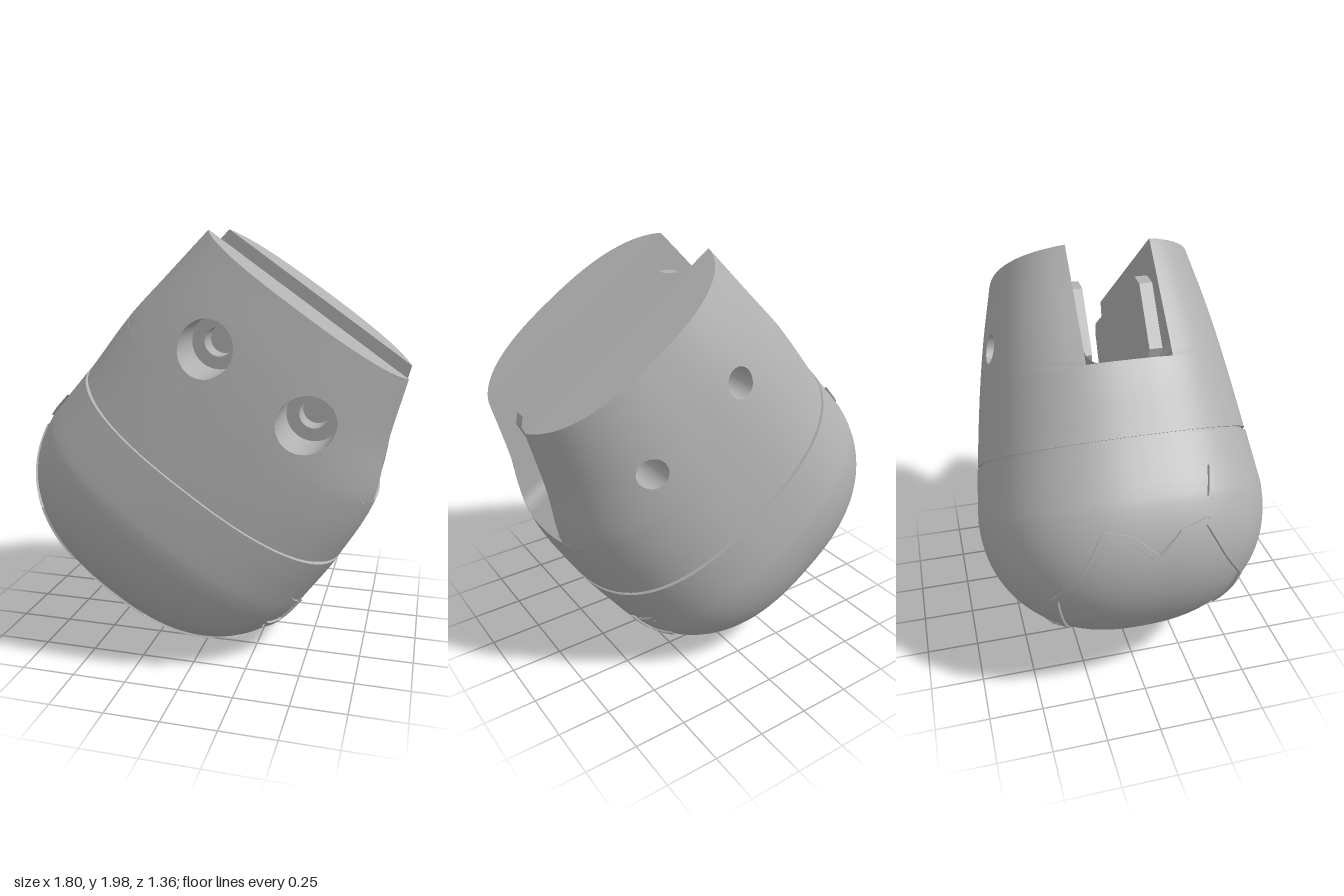
import * as THREE from 'three';
import { mergeGeometries, mergeVertices, toCreasedNormals } from 'three/addons/utils/BufferGeometryUtils.js';

const N = 2.5;                     // roundness of the oval sections
const SLOT = 0.19, FLOOR = 1.09, TOP = 1.635;
const BORE = 0.067, COUNTERBORE = 0.125, COUNTERBORE_Z = 0.3;
const HOLES = [[-0.81, 1.28], [-0.277, 1.28]];
const MID = -0.543;

// Oval sections above the dome: centre, half length, half width at each height
const sections = new THREE.CubicInterpolant(
  [0.5, 0.76, 1.09, 1.36, 1.635],
  [-0.535, 0.768, 0.675, -0.52, 0.757, 0.645, -0.53, 0.73, 0.595, -0.568, 0.65, 0.545, -0.596, 0.58, 0.48], 3);

function section(y) {
  if (y >= 0.5) return Array.from(sections.evaluate(Math.min(y, TOP)));
  const s = Math.min(1, (0.5 - y) / 0.607);
  const k = Math.pow(Math.max(0, 1 - Math.pow(s, 2.25)), 1 / 2.25);
  return [-0.535, 0.768 * k, 0.675 * k];
}

// Half width of the body at a point of its side
function outerZ(x, y) {
  const [c, a, b] = section(y);
  return Math.max(SLOT, b * Math.pow(Math.max(0, 1 - Math.pow(Math.abs((x - c) / a), N)), 1 / N));
}

// Where the body's oval meets the slot wall
function slotEnd(y, side) {
  const [c, a, b] = section(y);
  return c + side * a * Math.pow(1 - Math.pow(SLOT / b, N), 1 / N);
}

function ovalPoint(y, t, scale = 1) {
  const [c, a, b] = section(y);
  const p = (v) => Math.sign(v) * Math.pow(Math.abs(v), 2 / N);
  return [c + scale * a * p(Math.cos(t)), y, scale * b * p(Math.sin(t))];
}

// Surface from a rule over a grid of ni by nj cells
function grid(ni, nj, rule, flip = false) {
  const pos = [], idx = [];
  for (let j = 0; j <= nj; j++) for (let i = 0; i <= ni; i++) pos.push(...rule(i / ni, j / nj, i, j));
  for (let j = 0; j < nj; j++) for (let i = 0; i < ni; i++) {
    const a = j * (ni + 1) + i, b = a + 1, c = a + ni + 1, d = c + 1;
    if (flip) idx.push(a, b, c, b, d, c);
    else idx.push(a, c, b, b, c, d);
  }
  const g = new THREE.BufferGeometry();
  g.setAttribute('position', new THREE.Float32BufferAttribute(pos, 3));
  g.setIndex(idx);
  return g;
}

function smooth(...geometries) {
  const g = mergeVertices(mergeGeometries(geometries), 1e-4);
  g.computeVertexNormals();
  return g;
}

// Loft through rows of [height, scale]
function loft(rows) {
  return grid(96, rows.length - 1, (s, t, i, j) => ovalPoint(rows[j][0], s * Math.PI * 2, rows[j][1]));
}

// Half of a cheek face: rings spreading from a hole out to the face's border
function holedFace(half, radius, zRule, flip) {
  const [hx, hy] = HOLES[half];
  const left = (y) => (half === 0 ? slotEnd(y, -1) : MID);
  const right = (y) => (half === 0 ? MID : slotEnd(y, 1));
  return grid(112, 16, (s, t) => {
    const side = Math.min(3, Math.floor(s * 4 + 1e-9)), f = s * 4 - side;
    const along = side === 0 ? f : 1 - f;
    const y = side === 0 ? FLOOR : side === 2 ? TOP : FLOOR + (TOP - FLOOR) * (side === 1 ? f : 1 - f);
    const x = side === 1 ? right(y) : side === 3 ? left(y) : left(y) + (right(y) - left(y)) * along;
    const d = Math.hypot(x - hx, y - hy);
    const px = hx + (x - hx) * (radius / d * (1 - t) + t);
    const py = hy + (y - hy) * (radius / d * (1 - t) + t);
    return [px, py, zRule(px, py)];
  }, flip);
}

// Hole lining from one depth rule to another
function lining(hole, radius, from, to, flip) {
  return grid(48, 1, (s, t) => {
    const x = hole[0] + radius * Math.cos(s * Math.PI * 2), y = hole[1] + radius * Math.sin(s * Math.PI * 2);
    return [x, y, t ? to(x, y) : from(x, y)];
  }, flip);
}

// Point on the rounded base, reached from the centre along an angle pair
function basePoint(p, q, lift) {
  const polar = Math.hypot(p, q) || 1e-6, k = Math.sin(polar) / polar;
  const dir = [p * k, -Math.cos(polar), q * k];
  let lo = 0, hi = 1.2;
  for (let n = 0; n < 30; n++) {
    const r = (lo + hi) / 2, y = 0.45 + r * dir[1], [c, a, b] = section(y);
    const inside = a > 1e-6 &&
      Math.pow(Math.abs((-0.535 + r * dir[0] - c) / a), N) + Math.pow(Math.abs(r * dir[2] / b), N) < 1;
    if (inside) lo = r; else hi = r;
  }
  const r = lo + lift;
  return [-0.535 + r * dir[0], 0.45 + r * dir[1], r * dir[2]];
}

function ridge(a, b) {
  const len = Math.hypot(b[0] - a[0], b[1] - a[1]);
  const nx = -(b[1] - a[1]) / len, ny = (b[0] - a[0]) / len;
  const profile = [[-0.026, -0.01], [-0.02, 0.013], [0.02, 0.013], [0.026, -0.01]];
  return grid(10, 3, (s, t, i, j) => {
    const [w, h] = profile[j];
    return basePoint(a[0] + (b[0] - a[0]) * s + nx * w, a[1] + (b[1] - a[1]) * s + ny * w, h);
  });
}

export function createModel() {
  const model = new THREE.Group();
  model.name = 'slottedEndCap';
  const body = new THREE.Group();
  body.name = 'tiltedBody';
  body.rotation.z = -THREE.MathUtils.degToRad(35);
  model.add(body);
  const grey = new THREE.MeshStandardMaterial({ color: 0xb0b0b0, side: THREE.DoubleSide });
  grey.name = 'plainGrey';
  const add = (name, geometry, parent = body) => {
    const mesh = new THREE.Mesh(geometry, grey);
    mesh.name = name;
    parent.add(mesh);
    return mesh;
  };

  // Rounded base, seam and collar below the slot
  const dome = [];
  for (let i = 0; i <= 28; i++) dome.push([0.5 - 0.607 * Math.cos(i / 28 * Math.PI / 2), 1.004]);
  for (const y of [0.56, 0.62, 0.69, 0.752]) dome.push([y, 1.004]);
  add('roundedBase', smooth(loft(dome)));
  add('seamGroove', toCreasedNormals(smooth(loft([[0.752, 1.004], [0.752, 0.98], [0.766, 0.98], [0.766, 1]])), 0.5));
  add('collar', smooth(loft([0.766, 0.85, 0.93, 1.01, FLOOR].map((y) => [y, 1]))));
  add('slotFloor', smooth(grid(96, 1, (s, t) => ovalPoint(FLOOR, s * Math.PI * 2, 1 - t))));

  // Two cheeks, the front one counterbored
  for (const s of [1, -1]) {
    const cheek = new THREE.Group();
    cheek.name = s > 0 ? 'frontCheek' : 'backCheek';
    body.add(cheek);
    const outer = (x, y) => s * outerZ(x, y), inner = () => s * SLOT, step = () => s * COUNTERBORE_Z;
    const back = s < 0, mouth = back ? BORE : COUNTERBORE;
    add('cheekOuterFace', smooth(...[0, 1].map((h) => holedFace(h, mouth, outer, back))), cheek);
    add('cheekInnerFace', smooth(...[0, 1].map((h) => holedFace(h, BORE, inner, !back))), cheek);
    add('cheekTop', smooth(grid(64, 4, (p, t) => {
      const e0 = slotEnd(TOP, -1), e1 = slotEnd(TOP, 1);
      const x = (e0 + e1) / 2 - (e1 - e0) / 2 * Math.cos(p * Math.PI);
      return [x, TOP, s * (SLOT + t * (outerZ(x, TOP) - SLOT))];
    }, back)), cheek);
    for (const hole of HOLES) {
      add('boltBore', smooth(lining(hole, BORE, inner, back ? outer : step, !back)), cheek);
      if (back) continue;
      add('counterbore', smooth(lining(hole, COUNTERBORE, step, outer, true)), cheek);
      add('counterboreSeat', new THREE.RingGeometry(BORE, COUNTERBORE, 48), cheek).position.set(...hole, COUNTERBORE_Z);
    }

    // Raised plate on the slot wall
    const plate = new THREE.Shape([[-1.06, 1.1], [-0.08, 1.1], [-0.02, 1.16], [-0.06, 1.46], [-0.1, 1.5], [-1.04, 1.5], [-1.1, 1.45], [-1.11, 1.15]]
      .map(([x, y]) => new THREE.Vector2(x, y)));
    for (const [x, y] of HOLES) plate.holes.push(new THREE.Path().absarc(x, y, BORE, 0, Math.PI * 2, true));
    add('slotPlate', new THREE.ExtrudeGeometry(plate, { depth: 0.06, bevelEnabled: false, curveSegments: 32 }), cheek)
      .position.z = s > 0 ? 0.13 : -0.19;

    // Rounded corner between the slot wall and floor
    add('slotFillet', smooth(grid(1, 8, (p, t) => {
      const a = t * Math.PI / 2, y = FLOOR + 0.065 * (1 - Math.cos(a));
      return [slotEnd(y, p ? 1 : -1), y, s * (SLOT - 0.065 + 0.065 * Math.sin(a))];
    }, !back)), cheek);
  }

  // Angular raised trim around the base, mirrored front to back
  const trim = [
    [[1.47, 0], [1.36, 0.2], [1.36, 0.5], [1.25, 0.72]],
    [[1.14, 0], [1.2, 0.25], [1.05, 0.55]],
    [[1.36, 0.5], [1.55, 0.52]],
    [[1.5, 0.62], [1.45, 0.82]],
    [[0.9, 0.6], [0.35, 0.72], [-0.25, 0.66]],
    [[0.75, 0.45], [0.2, 0.5]],
    [[-0.4, 0.62], [-0.85, 0.72], [-1.15, 0.55]],
    [[-1.3, 0], [-1.42, 0.2], [-1.42, 0.42], [-1.15, 0.55]],
    [[-1.52, 0.5], [-1.65, 0.62]],
  ];
  const bars = [];
  for (const line of trim) for (const s of [1, -1]) {
    for (let i = 1; i < line.length; i++) {
      const [a, b] = [line[i - 1], line[i]].map(([p, q]) => [p, q * s]);
      bars.push(ridge(a, b));
    }
  }
  add('baseTrim', toCreasedNormals(smooth(...bars), 0.5));
  return model;
}
